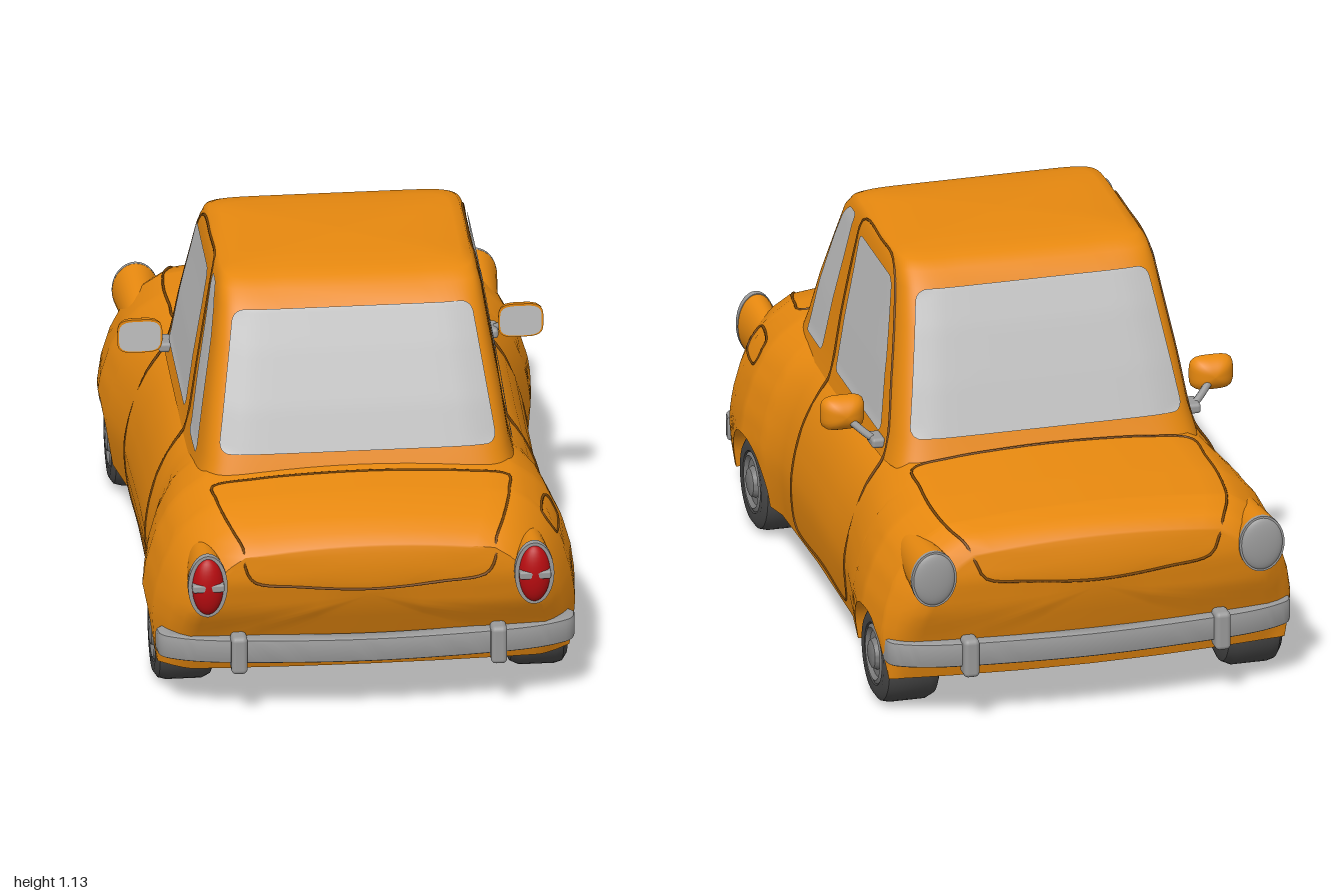
import * as THREE from 'three';
import { toCreasedNormals } from 'three/addons/utils/BufferGeometryUtils.js';
import { RoundedBoxGeometry } from 'three/addons/geometries/RoundedBoxGeometry.js';

const mat = (name, color, side = THREE.FrontSide) => {
  const m = new THREE.MeshStandardMaterial({ color, side });
  m.name = name;
  return m;
};
const M = {
  paint: mat('orange paint', 0xe8890f), seam: mat('dark seam', 0x7d480a),
  glass: mat('pale glass', 0xc0c0c0, THREE.DoubleSide), chrome: mat('grey metal', 0x9a9a9a),
  tyre: mat('tyre rubber', 0x484848), hub: mat('hub grey', 0x7c7c7c), red: mat('red lamp', 0xb80c10),
};
const V = (x, y, z) => new THREE.Vector3(x, y, z);

// linear lookup in rows [key, value, value...]
function look(rows, k, col = 1) {
  if (k <= rows[0][0]) return rows[0][col];
  for (let i = 1; i < rows.length; i++) if (k <= rows[i][0]) {
    const a = rows[i - 1], b = rows[i];
    return a[col] + (b[col] - a[col]) * (k - a[0]) / (b[0] - a[0]);
  }
  return rows[rows.length - 1][col];
}

// skin over closed (or open) rings
function loft(rings, closed = true) {
  const n = rings[0].length, pos = [], idx = [];
  rings.forEach(r => r.forEach(p => pos.push(p.x, p.y, p.z)));
  for (let i = 0; i < rings.length - 1; i++) for (let j = 0; j < (closed ? n : n - 1); j++) {
    const a = i * n + j, b = i * n + (j + 1) % n;
    idx.push(a, b, a + n, b, b + n, a + n);
  }
  const g = new THREE.BufferGeometry();
  g.setAttribute('position', new THREE.Float32BufferAttribute(pos, 3));
  g.setIndex(idx);
  g.computeVertexNormals();
  return g;
}

// lower body rules: [z, half width, shoulder height], side curve, end slopes
const PLAN = [[-1, .52, .525], [-.97, .55, .55], [-.85, .6, .573], [-.7, .617, .585], [-.55, .6, .595], [-.4, .572, .605],
  [0, .565, .628], [.35, .57, .63], [.45, .595, .63], [.58, .613, .625], [.75, .6, .605], [.86, .56, .58], [.92, .53, .555], [.95, .505, .53]];
const SIDE = [[.12, .97], [.2, .99], [.28, 1], [.36, .982], [.45, .94], [.53, .875], [.58, .8], [.62, .7]];
const REAR = [[.12, .815], [.25, .87], [.35, .93], [.45, .955], [.53, .95], [.57, .94]];
const FRONT = [[.12, .905], [.25, .945], [.35, .985], [.45, 1], [.53, .988], [.57, .975]];
const WHEELS = [.57, -.71], FLOOR = .125, ARCH = .152;
const width = z => look(PLAN, z, 1), shoulder = z => look(PLAN, z, 2);
const endZ = (s, x, y) => s > 0 ? look(REAR, y) - .06 * x * x : -look(FRONT, y) + .13 * x * x;
function bodyZ(z, x, y) {
  const lim = z > 0 ? .74 : -.87, full = z > 0 ? .95 : -1;
  return Math.abs(z) <= Math.abs(lim) ? z : lim + (z - lim) / (full - lim) * (endZ(z, x, y) - lim);
}
const sideX = (z, y) => width(z) * look(SIDE, y * .62 / shoulder(z));
const topY = (z, x) => shoulder(z) + .025 * (1 - (x / (.7 * width(z))) ** 2);

function bodyGeometry() {
  const stations = PLAN.map(r => r[0]).concat([-.92, -.2, .2, .3]);
  WHEELS.forEach(c => {
    for (let i = 0; i <= 14; i++) stations.push(c + ARCH * Math.cos(Math.PI * i / 14));
    stations.push(c + ARCH + .001, c - ARCH - .001);
  });
  stations.sort((a, b) => a - b);
  const outline = z => {
    let a = FLOOR;
    WHEELS.forEach(c => { const d = Math.abs(z - c); if (d <= ARCH) a = .14 + Math.sqrt(Math.max(0, ARCH * ARCH - d * d)); });
    const h = [[0, FLOOR], [.2, FLOOR], [.4, FLOOR], [.401, a], [.48, a]];
    for (let i = 0; i <= 14; i++) { const y = a + (shoulder(z) - a) * i / 14; h.push([sideX(z, y), y]); }
    for (let i = 5; i >= 0; i--) { const x = .7 * width(z) * i / 6; h.push([x, topY(z, x)]); }
    return h.concat(h.slice(1, -1).reverse().map(([x, y]) => [-x, y]));
  };
  const ring = (z, k = 1) => outline(z).map(([x, y]) => {
    const px = x * k, py = .4 + (y - .4) * k;
    return V(px, py, bodyZ(z, px, py));
  });
  const caps = [0, .3, .6, .85, .96];
  return toCreasedNormals(loft([...caps.map(k => ring(-1, k)), ...stations.map(z => ring(z)),
    ...caps.reverse().map(k => ring(.95, k))]), .7);
}

// cabin rules: [y, half width, rear z, front z] with near-rectangular rings
const CABIN = [[.58, .46, .63, -.49], [.66, .44, .6, -.455], [.8, .42, .54, -.4], [.95, .394, .465, -.335], [1.05, .378, .41, -.285],
  [1.09, .368, .365, -.25], [1.11, .355, .325, -.21], [1.12, .325, .28, -.16], [1.127, .22, .2, -.07], [1.13, 0, .07, .06]];
const N = 10;
function cabinDims(y) {
  const r = look(CABIN, y, 2), f = look(CABIN, y, 3);
  return { w: look(CABIN, y, 1), c: (r + f) / 2, d: (r - f) / 2 };
}
const bow = t => (1 - Math.min(1, Math.abs(t)) ** N) ** (1 / N);
const cabinX = (z, y) => { const { w, c, d } = cabinDims(y); return w * bow((z - c) / d); };
const cabinZ = (s, x, y) => { const { w, c, d } = cabinDims(y); return c + s * d * bow(x / w); };
function cabinGeometry() {
  const pw = v => Math.sign(v) * Math.abs(v) ** (2 / N);
  return loft(CABIN.map(([y]) => {
    const { w, c, d } = cabinDims(y);
    return Array.from({ length: 80 }, (_, i) => {
      const a = (i + .5) / 80 * Math.PI * 2;
      return V(w * pw(Math.cos(a)), y, c - d * pw(Math.sin(a)));
    });
  }));
}

// window pane: rows [y, from, to] with rounded corners, laid on a surface
function pane(rows, r, place) {
  const y0 = rows[0][0], y1 = rows[rows.length - 1][0], lines = [];
  for (let i = 0; i <= 28; i++) {
    const y = y0 + (y1 - y0) * (1 - Math.cos(Math.PI * i / 28)) / 2;
    const q = Math.max(0, r - Math.min(y - y0, y1 - y)), inset = r - Math.sqrt(r * r - q * q);
    const a = look(rows, y, 1) + inset, b = look(rows, y, 2) - inset;
    lines.push(Array.from({ length: 17 }, (_, j) => place(a + (b - a) * j / 16, y)));
  }
  return loft(lines, false);
}

export function createModel() {
  const car = new THREE.Group();
  car.name = 'car';
  const add = (name, geo, m, x = 0, y = 0, z = 0, parent = car) => {
    const o = new THREE.Mesh(geo, m);
    o.name = name;
    o.position.set(x, y, z);
    parent.add(o);
    return o;
  };
  const seam = (name, pts, closed = false) => add(name,
    new THREE.TubeGeometry(new THREE.CatmullRomCurve3(pts, closed, 'centripetal'), 120, .004, 5, closed), M.seam);

  add('body', bodyGeometry(), M.paint);
  add('cabin', cabinGeometry(), M.paint);

  // windscreen and rear window
  add('rearWindow', pane([[.685, -.395, .395], [1.052, -.338, .338]], .03, (x, y) => V(x, y, cabinZ(1, x, y) + .007)), M.glass);
  add('windscreen', pane([[.665, -.4, .4], [1.052, -.338, .338]], .03, (x, y) => V(x, y, cabinZ(-1, x, y) - .007)), M.glass);

  // hood and boot lid seams
  for (const [name, start, end] of [['bootSeam', .64, .95], ['hoodSeam', -.48, -1]]) {
    const half = [], s = Math.sign(end), w0 = .69 * width(start);
    for (const t of [.35, .7]) half.push(V(w0 * t, topY(start, w0 * t), start));
    for (const t of [.03, .25, .5, .75, .95]) {
      const z = start + (end - start) * t, x = .69 * width(z), y = topY(z, x);
      half.push(V(x, y, bodyZ(z, x, y)));
    }
    for (const [x, y] of [[.355, .5], [.33, .455], [.2, .435]]) half.push(V(x, y, endZ(s, x, y)));
    const low = V(0, .42, endZ(s, 0, .42)), top = V(0, topY(start, 0), start);
    seam(name, [top, ...half, low, ...half.map(p => V(-p.x, p.y, p.z)).reverse()], true);
  }

  for (const sx of [1, -1]) {
    const side = sx > 0 ? 'left' : 'right';
    const onCabin = (z, y) => V(sx * (cabinX(z, y) + .006), y, z);
    const onSide = (z, y) => V(sx * Math.max(y < shoulder(z) ? sideX(z, y) : 0, y > .58 ? cabinX(z, y) : 0), y, z);

    // side windows
    add(side + 'DoorWindow', pane([[.637, -.305, .165], [.85, -.255, .155], [1.055, -.185, .145]], .025, onCabin), M.glass);
    add(side + 'QuarterWindow', pane([[.637, .31, .467], [.8, .28, .43], [.95, .248, .378], [1.04, .228, .33], [1.085, .218, .28]], .015, onCabin), M.glass);

    // door outline
    const door = [];
    for (const [z, y] of [[.19, .15], [.21, .18], [.21, .3], [.21, .45], [.21, .55], [.21, .6], [.21, .64], [.205, .8], [.185, 1], [.17, 1.08],
      [.14, 1.098], [0, 1.098], [-.13, 1.095], [-.19, 1.06], [-.25, .94], [-.31, .78], [-.35, .65], [-.36, .59], [-.36, .5], [-.36, .3],
      [-.36, .18], [-.34, .15], [-.1, .15]]) door.push(onSide(z, y));
    seam(side + 'DoorSeam', door, true);
    if (sx > 0) seam('fuelFlap', [[.74, .475], [.63, .475], [.62, .49], [.62, .53], [.63, .54], [.74, .54], [.75, .53], [.75, .49]].map(p => onSide(...p)), true);

    // tail lamps
    const pod = (name, m, x, y, z, rx, ry, len, r0 = 1, r1 = 1) =>
      add(name, new THREE.CylinderGeometry(r1, r0, 1, 32).rotateX(Math.PI / 2), m, x, y, z).scale.set(rx, ry, len);
    const tx = sx * .463, ty = .455;
    pod(side + 'RearFin', M.paint, tx, ty, .86, .055, .093, .18, .75, 1);
    pod(side + 'TailBezel', M.chrome, tx, ty, .955, .056, .095, .02);
    add(side + 'TailLamp', new THREE.SphereGeometry(1, 28, 18), M.red, tx, ty, .96).scale.set(.045, .087, .034);
    add(side + 'TailBand', new RoundedBoxGeometry(.09, .024, .03, 2, .006), M.chrome, tx, ty + .005, .978);

    // headlamps
    const hx = sx * .48, hy = .468;
    pod(side + 'HeadlampPod', M.paint, hx, hy, -.875, .066, .084, .2, 1, .75);
    pod(side + 'HeadlampRim', M.chrome, hx, hy, -.977, .066, .084, .012);
    add(side + 'Headlamp', new THREE.SphereGeometry(1, 28, 18), M.chrome, hx, hy, -.98).scale.set(.061, .079, .018);

    // door mirror
    const mirror = new THREE.Group();
    mirror.name = side + 'Mirror';
    car.add(mirror);
    const shell = new THREE.SphereGeometry(1, 28, 12, 0, Math.PI * 2, 0, Math.PI / 2).rotateX(-Math.PI / 2);
    const squarish = g => { // push the round outline toward a rounded rectangle
      const p = g.attributes.position;
      for (let i = 0; i < p.count; i++) {
        const x = p.getX(i), y = p.getY(i), r = Math.hypot(x, y);
        if (r < 1e-5) continue;
        const k = r / (x ** 4 + y ** 4) ** .25;
        p.setXY(i, x * k, y * k);
      }
      g.computeVertexNormals();
      return g;
    };
    add('mirrorShell', squarish(shell), M.paint, sx * .54, .68, -.225, mirror).scale.set(.064, .051, .055);
    add('mirrorGlass', squarish(new THREE.CircleGeometry(1, 40)), M.glass, sx * .54, .68, -.222, mirror).scale.set(.059, .046, 1);
    add('mirrorBack', squarish(new THREE.CircleGeometry(1, 40)), M.paint, sx * .54, .68, -.225, mirror).scale.set(.064, .051, 1);
    add('mirrorArm', new THREE.TubeGeometry(new THREE.CatmullRomCurve3([V(sx * .45, .61, -.315), V(sx * .48, .628, -.3), V(sx * .53, .668, -.26)]), 10, .011, 8), M.chrome, 0, 0, 0, mirror);
    add('mirrorFoot', new RoundedBoxGeometry(.04, .03, .07, 2, .01), M.chrome, sx * .462, .617, -.305, mirror);

    // wheels
    const tyre = [[0, -.085], [.105, -.085], [.128, -.075], [.14, -.05], [.14, .05], [.134, .072], [.115, .085], [.09, .083], [.084, .068]];
    const hub = [[.088, .07], [.086, .08], [.076, .085], [.066, .074], [.046, .074], [.04, .088], [.03, .092], [0, .093]];
    WHEELS.forEach((z, i) => {
      const wheel = new THREE.Group();
      wheel.name = side + (i ? 'FrontWheel' : 'RearWheel');
      wheel.position.set(sx * .5, .14, z);
      wheel.rotation.z = -sx * Math.PI / 2;
      car.add(wheel);
      const lathe = pts => toCreasedNormals(new THREE.LatheGeometry(pts.map(p => new THREE.Vector2(...p)), 40), .7);
      add('tyre', lathe(tyre), M.tyre, 0, 0, 0, wheel);
      add('hubcap', lathe(hub), M.hub, 0, 0, 0, wheel);
    });
  }

  // bumpers: curved bar with two overriders each
  for (const [name, centre, turn] of [['rearBumper', .92, 0], ['frontBumper', .985, Math.PI]]) {
    const g = new THREE.Group();
    g.name = name;
    g.rotation.y = turn;
    car.add(g);
    const curve = new THREE.SplineCurve([[-.585, -.13], [-.56, -.08], [-.4, -.035], [0, -.008], [.4, -.035], [.56, -.08], [.585, -.13]]
      .map(([x, z]) => new THREE.Vector2(x, centre + z)));
    const outer = curve.getPoints(48);
    const inner = outer.map(p => new THREE.Vector2(p.x * .955, p.y - .03)).reverse();
    const bar = new THREE.ExtrudeGeometry(new THREE.Shape([...outer, ...inner]),
      { depth: .05, bevelEnabled: true, bevelSize: .008, bevelThickness: .012, bevelSegments: 2 });
    add('bar', toCreasedNormals(bar.rotateX(Math.PI / 2), .6), M.chrome, 0, .24, 0, g);
    for (const sx of [1, -1]) add('overrider', new RoundedBoxGeometry(.046, .115, .06, 3, .014), M.chrome, sx * .368, .21, centre - .03, g);
  }
  return car;
}
